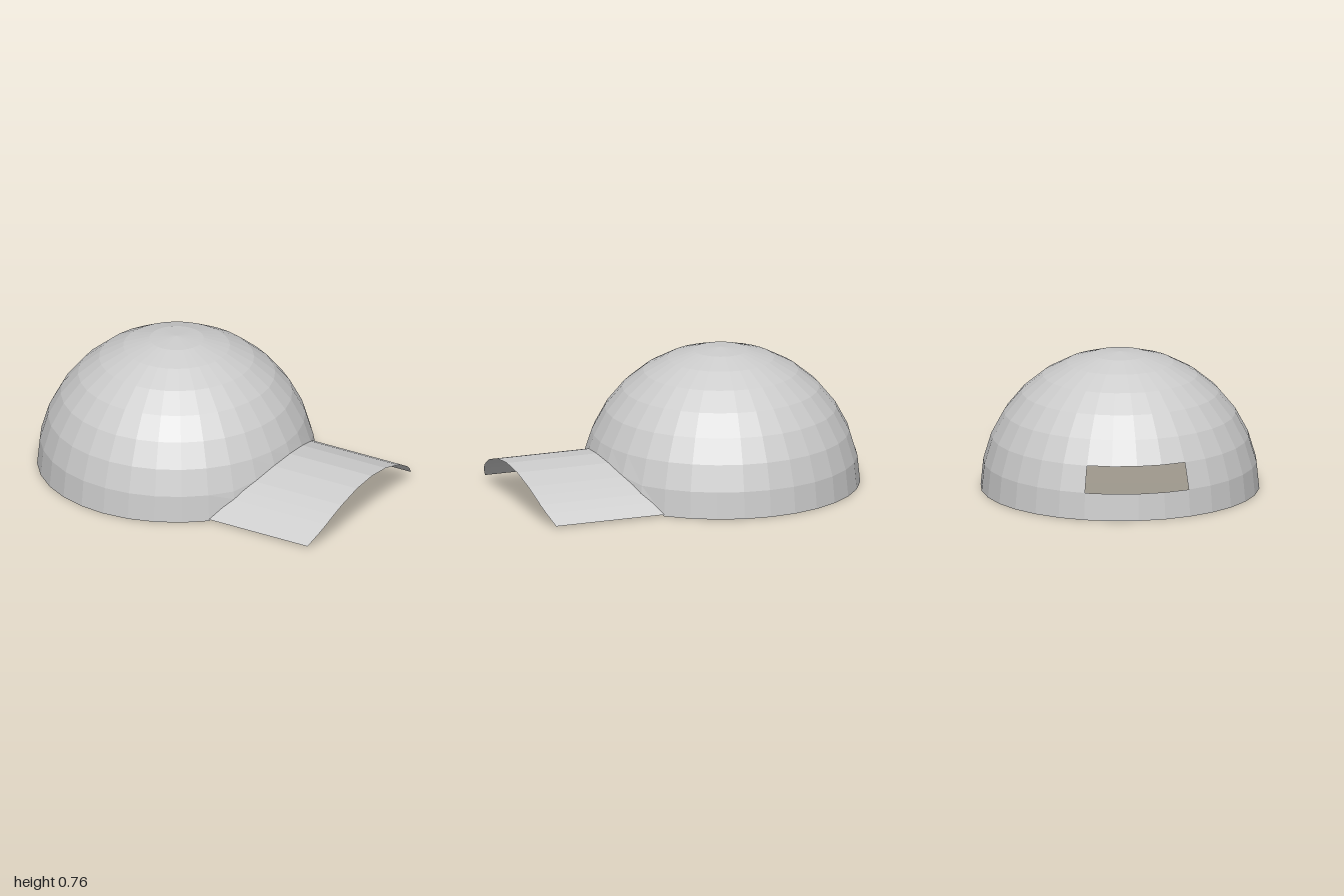
import * as THREE from 'three';

const R = 0.757, CX = -0.243, STEP = Math.PI / 16;

// height of the arched brim across its width
const archY = z => 0.23 - R + Math.sqrt(R * R - z * z);

// flat-shaded surface from a grid of points, with optional skipped cells
function gridSurface(name, rows, cols, point, skip = () => false) {
  const pos = [];
  const tri = (a, b, c) => {
    const area = b.clone().sub(a).cross(c.clone().sub(a)).length();
    if (area > 1e-7) for (const p of [a, b, c]) pos.push(p.x, p.y, p.z);
  };
  for (let i = 0; i < rows; i++) {
    for (let j = 0; j < cols; j++) {
      if (skip(i, j)) continue;
      const a = point(i, j), b = point(i, j + 1);
      const c = point(i + 1, j + 1), d = point(i + 1, j);
      tri(a, d, c);
      tri(a, c, b);
    }
  }
  const geo = new THREE.BufferGeometry();
  geo.setAttribute('position', new THREE.Float32BufferAttribute(pos, 3));
  geo.computeVertexNormals();
  const mat = new THREE.MeshStandardMaterial({ color: 0xcccccc, flatShading: true, side: THREE.DoubleSide });
  const mesh = new THREE.Mesh(geo, mat);
  mesh.name = name;
  return mesh;
}

// dome vertex; at the front the rim rises to meet the brim
function domePoint(i, j) {
  const theta = (j - 16) * STEP;
  let phi = i * STEP;
  if (Math.abs(j - 16) < 4) {
    let cut = 0;
    for (let k = 0; k < 8; k++) cut = Math.asin(archY(R * Math.cos(cut) * Math.sin(theta)) / R);
    phi = Math.max(phi, cut);
  }
  const r = R * Math.cos(phi);
  return new THREE.Vector3(CX + r * Math.cos(theta), R * Math.sin(phi), r * Math.sin(theta));
}

export function createModel() {
  const group = new THREE.Group();
  group.name = 'cap';

  // crown with the adjustment slot at the rear (second row, four cells)
  const isSlot = (i, j) => i === 1 && (j < 2 || j >= 30);
  group.add(gridSurface('crown', 8, 32, domePoint, isSlot));

  // arched brim: half profile of [z, outer x], mirrored
  const half = [[0, 1], [0.148, 0.997], [0.29, 0.988], [0.36, 0.979], [0.42, 0.968], [0.47, 0.952], [0.535, 0.92]];
  const profile = [...half.slice(1).reverse().map(([z, x]) => [-z, x]), ...half];
  const brimPoint = (i, j) => {
    const [z, x] = profile[j];
    return new THREE.Vector3(x - 0.862 * i, archY(z), z);
  };
  // rows run inward, so the upper side faces out
  const brim = gridSurface('brim', 1, profile.length - 1, (i, j) => brimPoint(i, profile.length - 1 - j));
  group.add(brim);
  return group;
}
